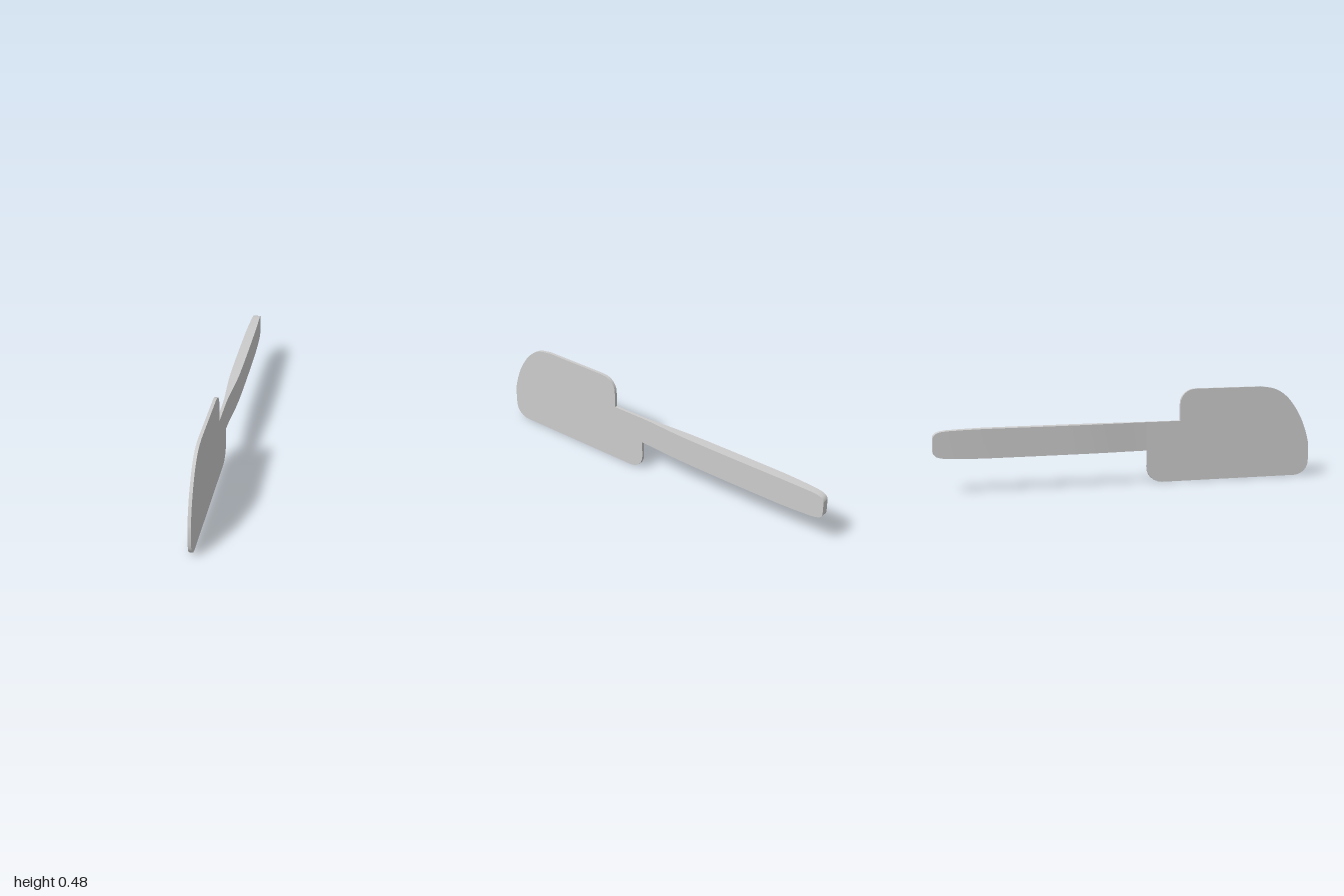
import * as THREE from 'three';
import { toCreasedNormals } from 'three/addons/utils/BufferGeometryUtils.js';

const BLADE_HALF = 0.008;
const MID_Y = 0.242;

// Flat blade: outline drawn as (z, y), extruded across x
function bladeGeometry() {
  const s = new THREE.Shape();
  s.moveTo(0.1, 0.316);
  s.lineTo(0.1, 0.08);
  s.bezierCurveTo(0.1, 0.035, 0.135, 0.002, 0.18, 0);
  s.lineTo(0.92, 0);
  s.bezierCurveTo(0.965, 0.002, 1, 0.03, 1, 0.08);
  s.lineTo(1, 0.17);
  s.splineThru([[0.978, 0.25], [0.94, 0.335], [0.88, 0.417], [0.81, 0.465], [0.73, 0.481]]
    .map(([z, y]) => new THREE.Vector2(z, y)));
  s.lineTo(0.36, 0.481);
  s.bezierCurveTo(0.315, 0.479, 0.28, 0.45, 0.28, 0.4);
  s.lineTo(0.28, 0.316);
  const geo = new THREE.ExtrudeGeometry(s, { depth: 2 * BLADE_HALF, bevelEnabled: false, curveSegments: 6 });
  geo.translate(0, 0, -BLADE_HALF);
  geo.rotateY(-Math.PI / 2);
  return toCreasedNormals(geo, 0.6);
}

// Handle: rectangular sections [z, half width, half height], swelling then tapering
function handleGeometry() {
  const sections = [
    [0.1, 0.008, 0.074], [0.05, 0.0095, 0.074], [0, 0.0125, 0.074], [-0.1, 0.0195, 0.074],
    [-0.2, 0.024, 0.074], [-0.3, 0.0255, 0.074], [-0.45, 0.0262, 0.074], [-0.6, 0.0262, 0.074],
    [-0.75, 0.0255, 0.074], [-0.85, 0.0235, 0.072], [-0.93, 0.021, 0.069], [-0.965, 0.0195, 0.065],
    [-0.985, 0.0185, 0.058], [-0.996, 0.018, 0.048], [-1, 0.018, 0.036],
  ];
  const corners = [[1, 1], [-1, 1], [-1, -1], [1, -1]];
  const pos = [], idx = [];
  const put = ([z, w, h], [cx, cy]) => pos.push(cx * w, MID_Y + cy * h, z);
  // One strip per side keeps the long edges sharp
  for (let side = 0; side < 4; side++) {
    const base = pos.length / 3;
    sections.forEach((sec, i) => {
      put(sec, corners[side]);
      put(sec, corners[(side + 1) % 4]);
      if (i) {
        const a = base + 2 * i - 2;
        idx.push(a, a + 2, a + 1, a + 1, a + 2, a + 3);
      }
    });
  }
  // Butt end
  const e = pos.length / 3;
  corners.forEach((c) => put(sections[sections.length - 1], c));
  idx.push(e, e + 2, e + 1, e, e + 3, e + 2);
  const geo = new THREE.BufferGeometry();
  geo.setAttribute('position', new THREE.Float32BufferAttribute(pos, 3));
  geo.setIndex(idx);
  geo.computeVertexNormals();
  return geo;
}

export function createModel() {
  const group = new THREE.Group();
  group.name = 'cleaver';
  const material = new THREE.MeshStandardMaterial({ color: 0xcccccc, side: THREE.DoubleSide });
  const add = (name, geo) => {
    const mesh = new THREE.Mesh(geo, material);
    mesh.name = name;
    group.add(mesh);
  };
  add('blade', bladeGeometry());
  add('handle', handleGeometry());
  return group;
}
